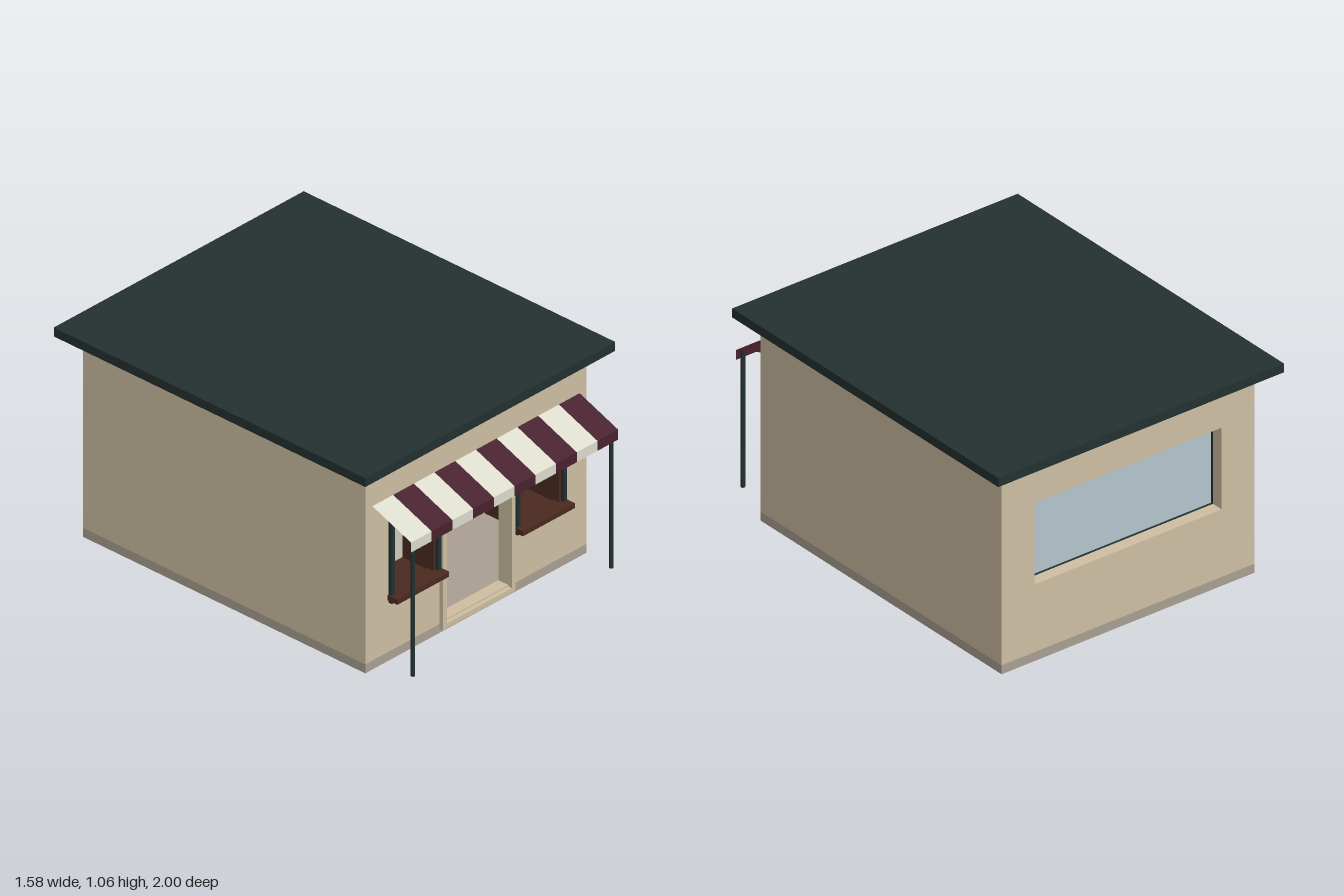
import * as THREE from 'three';

const material = (name, color) => {
  const m = new THREE.MeshStandardMaterial({ color });
  m.name = name;
  return m;
};

export function createModel() {
  const plaster = material('beige plaster', 0xcfbfa3);
  const stone = material('grey stone', 0xaaa092);
  const dark = material('dark green', 0x233130);
  const wood = material('brown wood', 0x4a2a20);
  const burgundy = material('burgundy', 0x48212e);
  const cream = material('cream', 0xdcdccf);
  const glass = material('pale blue glass', 0xb5c5cd);
  const pale = material('pale grey', 0xcfcbc1);
  const burgundyCloth = material('burgundy cloth', 0x48212e);
  burgundyCloth.side = cream.side = THREE.DoubleSide;

  const model = new THREE.Group();
  model.name = 'kiosk';

  const add = (name, geometry, mat, parent = model) => {
    const mesh = new THREE.Mesh(geometry, mat);
    mesh.name = name;
    parent.add(mesh);
    return mesh;
  };
  // Box given by its limits on each axis
  const box = (name, mat, [x0, x1], [y0, y1], [z0, z1], parent) => {
    const mesh = add(name, new THREE.BoxGeometry(x1 - x0, y1 - y0, z1 - z0), mat, parent);
    mesh.position.set((x0 + x1) / 2, (y0 + y1) / 2, (z0 + z1) / 2);
    return mesh;
  };
  const rect = (target, x0, x1, y0, y1) => {
    target.moveTo(x0, y0).lineTo(x1, y0).lineTo(x1, y1).lineTo(x0, y1).closePath();
    return target;
  };
  // Upright panel with rectangular holes, between z0 and z1
  const panel = (name, mat, outer, holes, z0, z1, parent) => {
    const shape = rect(new THREE.Shape(), ...outer);
    for (const h of holes) shape.holes.push(rect(new THREE.Path(), ...h));
    const geometry = new THREE.ExtrudeGeometry(shape, { depth: z1 - z0, bevelEnabled: false });
    geometry.translate(0, 0, z0);
    return add(name, geometry, mat, parent);
  };

  // Shell
  box('floorSlab', stone, [-0.7, 0.7], [0, 0.045], [-0.91, 0.77]);
  box('roof', dark, [-0.79, 0.79], [1.015, 1.06], [-1, 0.855]);
  for (const s of [-1, 1]) {
    box('sideWall', plaster, [s * 0.67 - 0.03, s * 0.67 + 0.03], [0.045, 1.015], [-0.85, 0.71]);
  }
  panel('frontWall', plaster, [-0.7, 0.7, 0.045, 1.015], [
    [-0.205, 0.205, 0.052, 0.75],
    [-0.535, -0.258, 0.31, 0.7],
    [0.258, 0.535, 0.31, 0.7],
  ], 0.71, 0.77);
  panel('backWall', plaster, [-0.7, 0.7, 0.045, 1.015], [[-0.517, 0.517, 0.385, 0.795]], -0.91, -0.85);

  // Back window
  panel('backWindowFrame', dark, [-0.55, 0.55, 0.355, 0.825], [[-0.517, 0.517, 0.385, 0.795]], -0.85, -0.83);
  box('backWindowGlass', glass, [-0.517, 0.517], [0.385, 0.795], [-0.837, -0.829]);

  // Door surround
  panel('doorFrame', plaster, [-0.23, 0.23, 0.02, 0.78], [[-0.205, 0.205, 0.045, 0.75]], 0.77, 0.79);

  // Front windows: dark frame, deep wooden box, pane and sill
  for (const s of [-1, 1]) {
    const w = new THREE.Group();
    w.name = 'frontWindow';
    w.position.x = s * 0.397;
    model.add(w);
    panel('windowFrame', dark, [-0.157, 0.157, 0.295, 0.72], [[-0.136, 0.136, 0.315, 0.7]], 0.77, 0.79, w);
    panel('windowBox', wood, [-0.138, 0.138, 0.312, 0.7], [[-0.122, 0.122, 0.328, 0.685]], 0.58, 0.775, w);
    box('windowPane', pale, [-0.124, 0.124], [0.325, 0.687], [0.582, 0.59], w);
    box('windowSill', wood, [-0.164, 0.164], [0.31, 0.335], [0.74, 0.83], w);
    box('sillTrim', wood, [-0.157, 0.157], [0.295, 0.31], [0.77, 0.792], w);
  }
  box('windowPost', dark, [-0.432, -0.407], [0.328, 0.64], [0.6, 0.625]);

  // Striped awning with a hanging edge
  const awning = new THREE.Group();
  awning.name = 'awning';
  model.add(awning);
  const stripe = 0.131;
  const rise = 0.09, run = 0.23;
  for (let i = 0; i < 10; i++) {
    const cloth = i % 2 ? burgundyCloth : cream;
    const x = -0.655 + stripe * (i + 0.5);
    const slope = add('awningStripe', new THREE.PlaneGeometry(stripe, Math.hypot(rise, run)), cloth, awning);
    slope.position.set(x, 0.825 - rise / 2, 0.77 + run / 2);
    slope.rotation.x = -Math.atan2(run, rise);
    const flap = add('awningFlap', new THREE.PlaneGeometry(stripe, 0.05), cloth, awning);
    flap.position.set(x, 0.71, 1);
  }
  for (const s of [-1, 1]) {
    const post = add('awningPost', new THREE.CylinderGeometry(0.01, 0.01, 0.69, 12), dark, awning);
    post.position.set(s * 0.627, 0.39, 0.985);
  }

  // Counter inside
  box('counterPlinth', stone, [-0.4, 0.4], [0.045, 0.055], [-0.75, -0.5]);
  box('counterFront', burgundy, [-0.4, 0.4], [0.055, 0.346], [-0.75, -0.5]);
  box('counterTop', wood, [-0.42, 0.42], [0.346, 0.386], [-0.77, -0.48]);
  box('counterTray', wood, [0.11, 0.3], [0.386, 0.4], [-0.74, -0.6]);

  // Jars on the counter
  const profile = [[0, 0], [0.026, 0], [0.032, 0.008], [0.032, 0.044], [0.029, 0.05], [0.033, 0.054], [0, 0.054]]
    .map(([r, y]) => new THREE.Vector2(r, y));
  for (const x of [-0.097, 0, 0.097]) {
    const jar = add('jar', new THREE.LatheGeometry(profile, 24), pale);
    jar.position.set(x, 0.386, -0.55);
    box('jarHandles', dark, [x - 0.037, x + 0.037], [0.4, 0.422], [-0.555, -0.545]);
  }
  return model;
}
